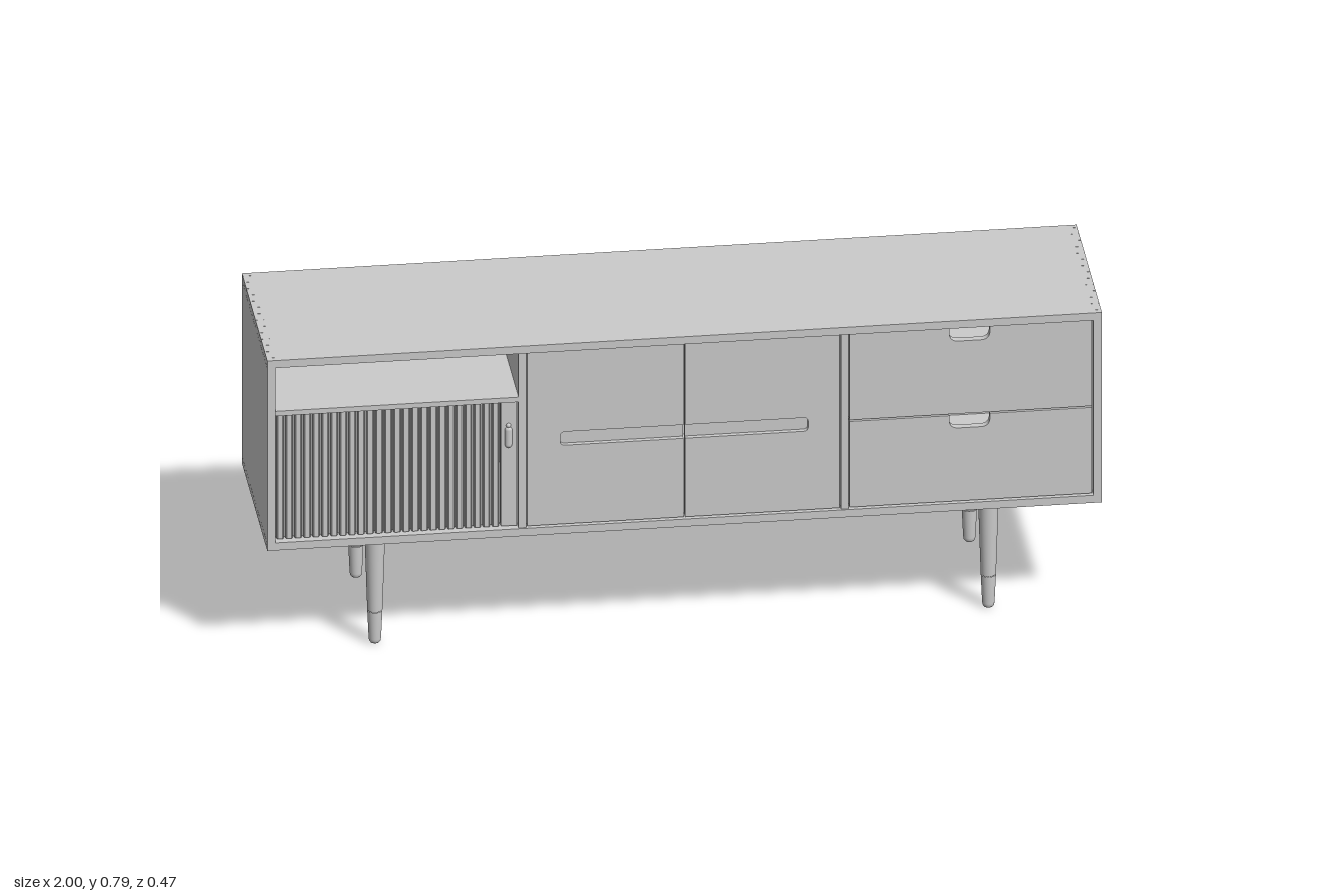
import * as THREE from 'three';

const material = new THREE.MeshStandardMaterial({ color: 0xcccccc });
const Y0 = 0.288, Y1 = 0.793, T = 0.02, D = 0.234; // carcass bottom, top, board thickness, half depth
const PITCH = 0.0673, NARROW = 0.017, WIDE = 0.026; // dovetail joint

export function createModel() {
  const root = new THREE.Group();

  const add = (name, geometry, parent = root) => {
    const mesh = new THREE.Mesh(geometry, material);
    mesh.name = name;
    parent.add(mesh);
    return mesh;
  };
  // Box given by its limits on each axis
  const box = (name, x0, x1, y0, y1, z0, z1, parent) => {
    const mesh = add(name, new THREE.BoxGeometry(x1 - x0, y1 - y0, z1 - z0), parent);
    mesh.position.set((x0 + x1) / 2, (y0 + y1) / 2, (z0 + z1) / 2);
    return mesh;
  };
  const polygon = (pts) => new THREE.Shape(pts.map(([x, y]) => new THREE.Vector2(x, y)));
  const extrude = (shape, depth) =>
    new THREE.ExtrudeGeometry(shape, { depth, bevelEnabled: false, curveSegments: 8 });
  const group = (name) => {
    const g = new THREE.Group();
    g.name = name;
    root.add(g);
    return g;
  };

  // Side panels with dovetail sockets along the top and bottom edges
  const outline = [[-D, Y0]];
  for (let i = -3; i <= 3; i++) {
    const c = i * PITCH;
    outline.push([c - NARROW, Y0], [c - WIDE, Y0 + T], [c + WIDE, Y0 + T], [c + NARROW, Y0]);
  }
  outline.push([D, Y0], [D, Y1]);
  for (let i = 3; i >= -3; i--) {
    const c = i * PITCH;
    outline.push([c + NARROW, Y1], [c + WIDE, Y1 - T], [c - WIDE, Y1 - T], [c - NARROW, Y1]);
  }
  outline.push([-D, Y1]);
  const sideGeometry = extrude(polygon(outline), T).rotateY(Math.PI / 2);
  add('leftSide', sideGeometry).position.x = 1 - T;
  add('rightSide', sideGeometry).position.x = -1;

  // Top and bottom boards with the dovetails that fill the sockets
  box('topBoard', -1 + T, 1 - T, Y1 - T, Y1, -D, D);
  box('bottomBoard', -1 + T, 1 - T, Y0, Y0 + T, -D, D);
  const g = 0.0008;
  const tail = extrude(polygon([
    [-NARROW + g, 0], [NARROW - g, 0], [WIDE - g, T - g], [-WIDE + g, T - g],
  ]), T).rotateY(Math.PI / 2);
  const upperTail = tail.clone().rotateX(Math.PI);
  const tails = group('dovetails');
  for (const x of [-1, 1 - T]) {
    for (let i = -3; i <= 3; i++) {
      add('lowerDovetail', tail, tails).position.set(x, Y0, i * PITCH);
      add('upperDovetail', upperTail, tails).position.set(x, Y1, i * PITCH);
    }
  }

  // Inset back panel, dividers and open shelf
  const lo = Y0 + T, hi = Y1 - T;
  box('backPanel', -0.98, 0.98, lo, hi - 0.008, -0.222, -0.212);
  box('rightDivider', -0.397, -0.379, lo, hi, -0.212, 0.23);
  box('leftDivider', 0.375, 0.393, lo, hi, -0.212, 0.23);
  box('openShelf', -0.98, -0.397, 0.643, 0.656, -0.212, 0.23);

  // Tambour door: narrow rounded slats on a backing sheet
  const tambour = group('tambourDoor');
  const top = 0.641, bottom = lo + 0.003;
  box('tambourBacking', -0.978, -0.44, bottom, top, 0.2, 0.208, tambour);
  const slats = 25, step = 0.538 / slats, h = step * 0.4;
  const slatGeometry = extrude(polygon([
    [-h, 0], [h, 0], [h, 0.009], [h * 0.65, 0.013], [-h * 0.65, 0.013], [-h, 0.009],
  ]), top - bottom).rotateX(Math.PI / 2);
  for (let i = 0; i < slats; i++) {
    add('slat', slatGeometry, tambour).position.set(-0.978 + (i + 0.5) * step, top, 0.208);
  }
  box('leadingStile', -0.438, -0.4, bottom, top, 0.2, 0.221, tambour);
  const pull = add('tambourPull', new THREE.CapsuleGeometry(0.009, 0.038, 4, 12), tambour);
  pull.scale.z = 0.8;
  pull.position.set(-0.42, 0.547, 0.221);
  const tip = add('pullTip', new THREE.SphereGeometry(0.006, 12, 8), tambour);
  tip.position.set(-0.42, 0.578, 0.221);

  // Hinged doors sharing one long recessed grip
  const doorShape = (s, x0, x1) => {
    const end = 0.297, low = 0.52, high = 0.556, r = 0.012;
    const p = new THREE.Shape();
    p.moveTo(s * x0, lo + 0.003);
    p.lineTo(s * x1, lo + 0.003);
    p.lineTo(s * x1, hi - 0.003);
    p.lineTo(s * x0, hi - 0.003);
    p.lineTo(s * x0, high);
    p.lineTo(s * (end - r), high);
    p.quadraticCurveTo(s * end, high, s * end, high - r);
    p.lineTo(s * end, low + r);
    p.quadraticCurveTo(s * end, low, s * (end - r), low);
    p.lineTo(s * x0, low);
    p.closePath();
    return p;
  };
  for (const s of [-1, 1]) {
    const x1 = s > 0 ? 0.372 : 0.376;
    const door = group(s > 0 ? 'leftDoor' : 'rightDoor');
    add('doorFace', extrude(doorShape(s, 0.002, x1), 0.012), door).position.z = 0.216;
    const a = s * 0.002, b = s * x1;
    box('doorBacking', Math.min(a, b), Math.max(a, b), lo + 0.003, hi - 0.003, 0.206, 0.216, door);
  }

  // Drawers with a rounded finger notch in the top edge
  const drawer = (name, y0, y1) => {
    const d = group(name);
    const x0 = 0.396, x1 = 0.977, n0 = 0.635, n1 = 0.732, depth = 0.034, r = 0.022;
    const p = new THREE.Shape();
    p.moveTo(x0, y0);
    p.lineTo(x1, y0);
    p.lineTo(x1, y1);
    p.lineTo(n1, y1);
    p.lineTo(n1, y1 - depth + r);
    p.quadraticCurveTo(n1, y1 - depth, n1 - r, y1 - depth);
    p.lineTo(n0 + r, y1 - depth);
    p.quadraticCurveTo(n0, y1 - depth, n0, y1 - depth + r);
    p.lineTo(n0, y1);
    p.lineTo(x0, y1);
    p.closePath();
    add('drawerFront', extrude(p, 0.018), d).position.z = 0.21;
    box('drawerBase', x0 + 0.01, x1 - 0.01, y0 + 0.01, y0 + 0.018, -0.2, 0.21, d);
    box('drawerBack', x0 + 0.01, x1 - 0.01, y0 + 0.018, y1 - 0.01, -0.2, -0.188, d);
    for (const x of [x0 + 0.01, x1 - 0.022]) {
      box('drawerSide', x, x + 0.012, y0 + 0.018, y1 - 0.01, -0.188, 0.21, d);
    }
  };
  drawer('upperDrawer', 0.543, hi - 0.003);
  drawer('lowerDrawer', lo + 0.003, 0.539);

  // Tapered legs with a fine groove above the rounded foot
  const shaft = [[0.0245, Y0], [0.0182, 0.087], [0.0172, 0.086]];
  const foot = [[0.0172, 0.085], [0.018, 0.084], [0.0148, 0.012], [0.0135, 0.005], [0.0105, 0.001], [0, 0]];
  const lathe = (pts) =>
    new THREE.LatheGeometry(pts.map(([r, y]) => new THREE.Vector2(r, y)).reverse(), 32);
  const shaftGeometry = lathe(shaft), footGeometry = lathe(foot);
  for (const x of [-0.735, 0.735]) {
    for (const z of [-0.175, 0.175]) {
      const leg = group((z > 0 ? 'front' : 'back') + (x > 0 ? 'Left' : 'Right') + 'Leg');
      leg.position.set(x, 0, z);
      add('legShaft', shaftGeometry, leg);
      add('legFoot', footGeometry, leg);
    }
  }

  return root;
}
